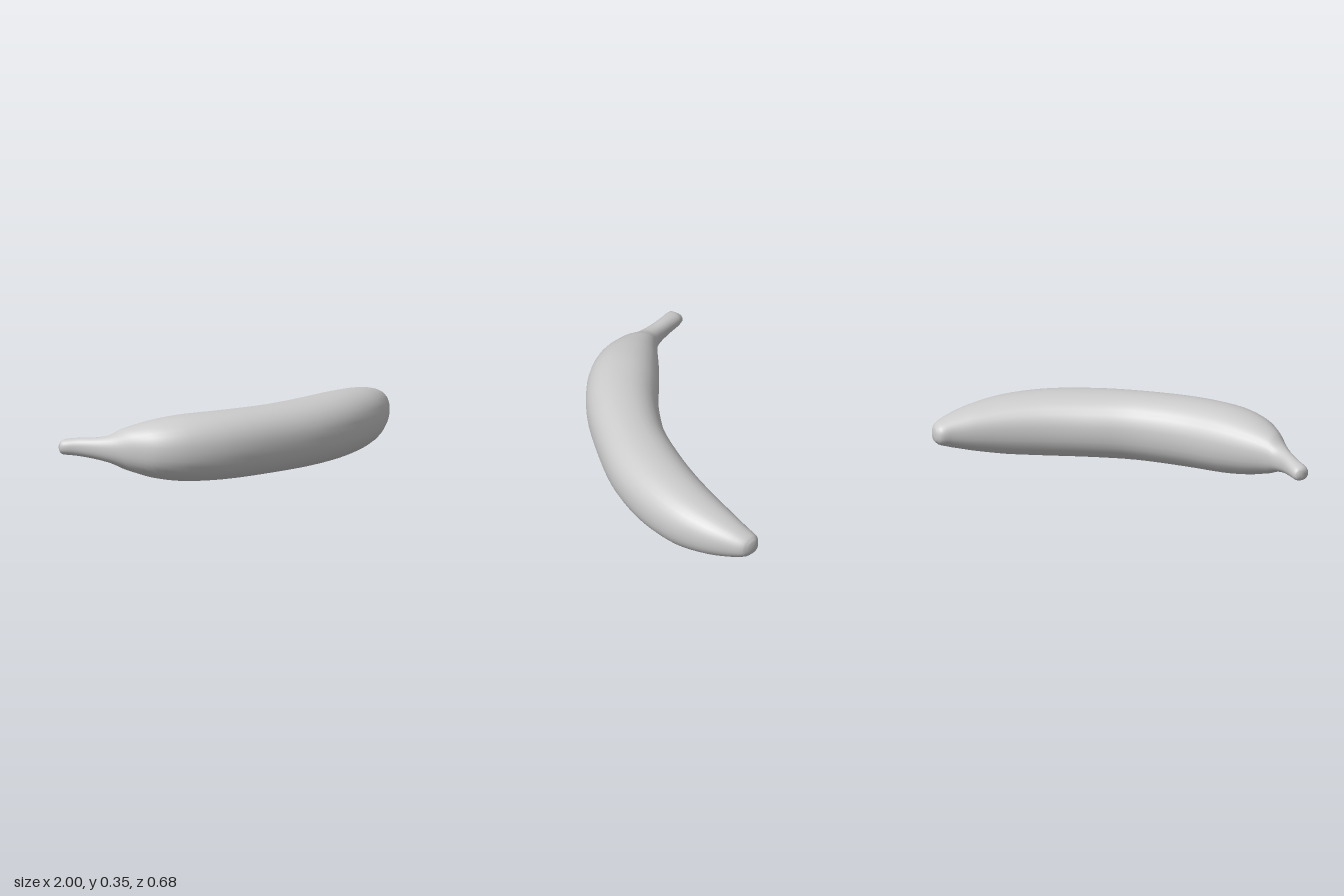
import * as THREE from 'three';

// Cross-sections from stem to blossom end:
// inner x, inner z, outer x, outer z, bottom y, top y
const SECTIONS = [
  [-0.95, -0.34, -0.99, -0.305, 0.15, 0.2],
  [-0.925, -0.32, -1.0, -0.28, 0.14, 0.217],
  [-0.88, -0.265, -0.945, -0.215, 0.135, 0.228],
  [-0.83, -0.205, -0.88, -0.125, 0.122, 0.235],
  [-0.79, -0.175, -0.83, -0.04, 0.105, 0.25],
  [-0.74, -0.157, -0.78, 0.05, 0.075, 0.285],
  [-0.6, -0.13, -0.7, 0.16, 0.035, 0.322],
  [-0.45, -0.095, -0.56, 0.25, 0.01, 0.345],
  [-0.25, -0.045, -0.33, 0.315, 0.002, 0.35],
  [0, -0.02, 0, 0.335, 0.004, 0.348],
  [0.2, -0.045, 0.27, 0.32, 0.006, 0.346],
  [0.42, -0.09, 0.53, 0.25, 0.012, 0.342],
  [0.6, -0.145, 0.74, 0.14, 0.03, 0.325],
  [0.76, -0.205, 0.88, 0.01, 0.065, 0.295],
  [0.87, -0.25, 0.96, -0.1, 0.1, 0.262],
  [0.925, -0.277, 0.998, -0.175, 0.125, 0.235],
  [0.957, -0.27, 0.996, -0.21, 0.145, 0.215],
];
const STEM_TIP = [-0.978, 0.175, -0.328];
const BLOSSOM_TIP = [0.985, 0.18, -0.245];
const RINGS = 65;
const SIDES = 32;

// Smooth curve through one pair of columns of the table
const curveOf = (a, b) => new THREE.CatmullRomCurve3(
  SECTIONS.map((s) => new THREE.Vector3(s[a], s[b], 0)), false, 'centripetal');

// Rounded power that makes each section slightly fuller than an ellipse
const full = (v) => Math.sign(v) * Math.abs(v) ** 0.9;

function bananaGeometry() {
  const inner = curveOf(0, 1), outer = curveOf(2, 3);
  const height = new THREE.CatmullRomCurve3(
    SECTIONS.map((s, i) => new THREE.Vector3(i * 0.1, s[4], s[5])), false, 'centripetal');
  const positions = [], index = [];

  // Rings around the body
  for (let i = 0; i < RINGS; i++) {
    const t = i / (RINGS - 1);
    const p = inner.getPoint(t), q = outer.getPoint(t), h = height.getPoint(t);
    for (let j = 0; j < SIDES; j++) {
      const angle = (j / SIDES) * Math.PI * 2;
      const across = 0.5 + 0.5 * full(Math.cos(angle));
      const up = 0.5 + 0.5 * full(Math.sin(angle));
      positions.push(
        THREE.MathUtils.lerp(p.x, q.x, across),
        THREE.MathUtils.lerp(h.y, h.z, up),
        THREE.MathUtils.lerp(p.y, q.y, across));
    }
  }
  const stemTip = RINGS * SIDES, blossomTip = stemTip + 1, last = (RINGS - 1) * SIDES;
  positions.push(...STEM_TIP, ...BLOSSOM_TIP);

  // Skin between rings, closed by a fan at each end
  for (let j = 0; j < SIDES; j++) {
    const k = (j + 1) % SIDES;
    for (let i = 0; i < RINGS - 1; i++) {
      const a = i * SIDES, b = a + SIDES;
      index.push(a + j, b + j, a + k, b + j, b + k, a + k);
    }
    index.push(stemTip, j, k, blossomTip, last + k, last + j);
  }
  const geometry = new THREE.BufferGeometry();
  geometry.setAttribute('position', new THREE.Float32BufferAttribute(positions, 3));
  geometry.setIndex(index);
  geometry.computeVertexNormals();
  return geometry;
}

export function createModel() {
  const group = new THREE.Group();
  group.name = 'banana';
  const body = new THREE.Mesh(bananaGeometry(),
    new THREE.MeshStandardMaterial({ color: 0xcccccc }));
  body.name = 'bananaBody';
  group.add(body);
  return group;
}
